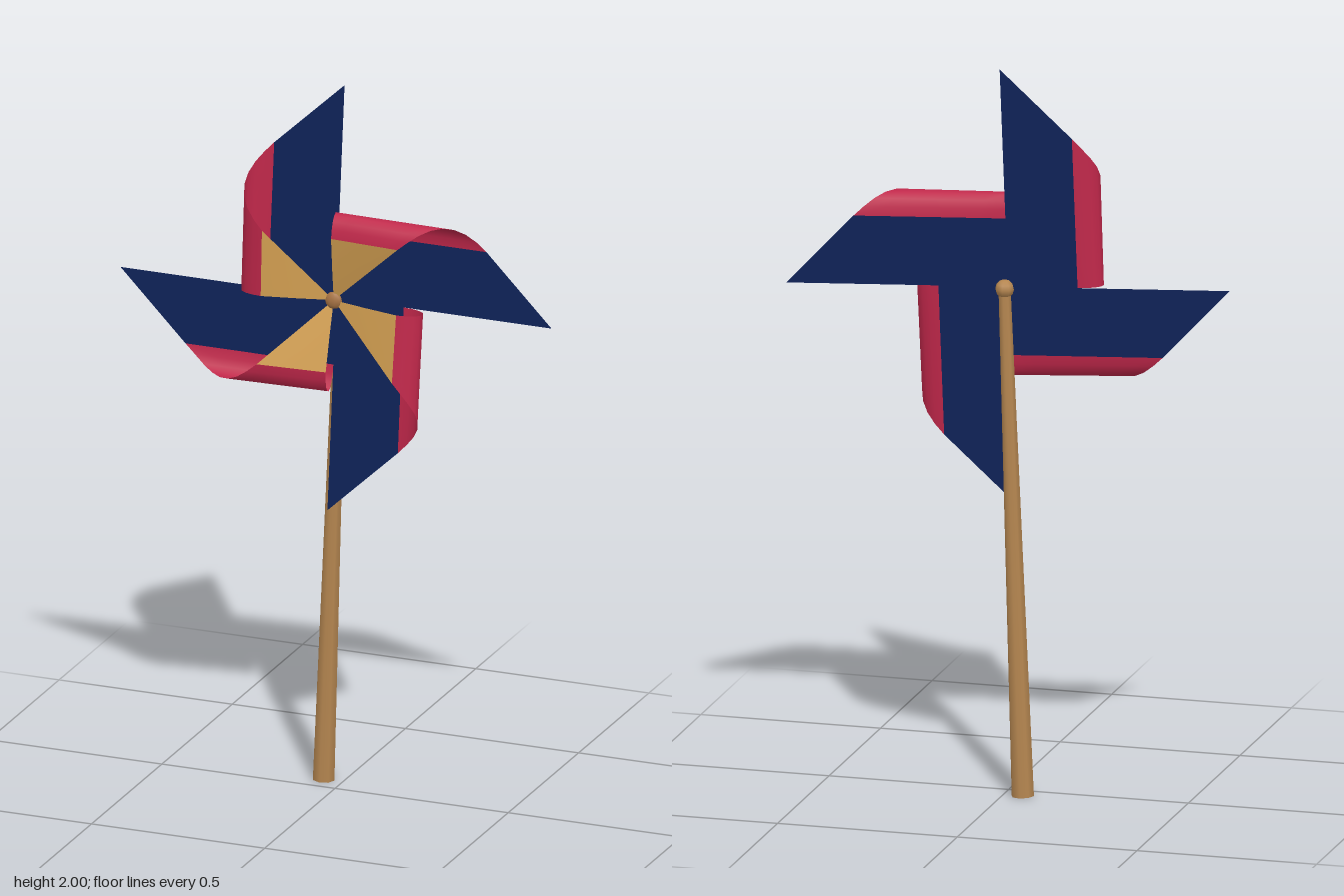
import * as THREE from 'three';

const material = (name, color, side = THREE.FrontSide) => {
  const m = new THREE.MeshStandardMaterial({ color, side });
  m.name = name;
  return m;
};

const R = 0.605;     // hub to blade tip
const FOLD = 0.19;   // width of the flat and of the folded-over part
const ROWS = 6;

// Sheet of paper from columns [x, z, height]; the curl opens up towards the outer edge
function paper(columns) {
  const pos = [], index = [];
  for (const [x, z, h] of columns) {
    for (let j = 0; j <= ROWS; j++) {
      const y = h * j / ROWS;
      pos.push(x, y, z * (1 + 1.0 * y));
    }
  }
  const n = ROWS + 1;
  for (let i = 0; i < columns.length - 1; i++) {
    for (let j = 0; j < ROWS; j++) {
      const a = i * n + j, b = a + n;
      index.push(a, a + 1, b, b, a + 1, b + 1);
    }
  }
  const g = new THREE.BufferGeometry();
  g.setAttribute('position', new THREE.Float32BufferAttribute(pos, 3));
  g.setIndex(index);
  g.computeVertexNormals();
  return g;
}

// Tapered rod between two points
function rod(from, to, r0, r1, mat, name, sides = 8) {
  const dir = to.clone().sub(from);
  const mesh = new THREE.Mesh(new THREE.CylinderGeometry(r1, r0, dir.length(), sides), mat);
  mesh.position.copy(from).add(to).multiplyScalar(0.5);
  mesh.quaternion.setFromUnitVectors(new THREE.Vector3(0, 1, 0), dir.normalize());
  mesh.name = name;
  return mesh;
}

export function createModel() {
  const navy = material('navy paper', 0x0e2259, THREE.DoubleSide);
  const red = material('red paper', 0xc0274a, THREE.DoubleSide);
  const tan = material('tan paper', 0xd4a052, THREE.DoubleSide);
  const wood = material('wood', 0xb58650);
  const pinMat = material('pin', 0xa87445);

  const model = new THREE.Group();
  model.name = 'pinwheel';

  // Flat back, half-round curl and front flap of one blade
  const back = paper([[0, 0, R], [-FOLD, 0, R - FOLD]]);
  const curlColumns = [];
  const SEG = 8, curlLength = R - 2 * FOLD;
  for (let i = 0; i <= SEG; i++) {
    const t = i / SEG, a = Math.PI * t;
    curlColumns.push([-FOLD - 0.065 * Math.sin(a), 0.034 * (1 - Math.cos(a)), R - FOLD - curlLength * t]);
  }
  const curl = paper(curlColumns);
  const flap = paper([[-FOLD, 0.068, FOLD], [-FOLD / 2, 0.046, FOLD / 2], [0, 0.02, 0]]);

  // Wheel of four blades, slightly turned
  const wheel = new THREE.Group();
  wheel.name = 'wheel';
  for (let k = 0; k < 4; k++) {
    const blade = new THREE.Group();
    blade.name = 'blade' + (k + 1);
    [[back, navy, 'bladeBack'], [curl, red, 'bladeCurl'], [flap, tan, 'bladeFlap']].forEach(([g, m, name]) => {
      const mesh = new THREE.Mesh(g, m);
      mesh.name = name;
      blade.add(mesh);
    });
    blade.rotation.z = -k * Math.PI / 2;
    wheel.add(blade);
  }

  // Pin through the hub with a rounded head
  wheel.add(rod(new THREE.Vector3(0, 0, -0.04), new THREE.Vector3(0, 0, 0.022), 0.009, 0.009, pinMat, 'pinShaft'));
  const head = new THREE.Mesh(new THREE.SphereGeometry(0.024, 10, 6), pinMat);
  head.scale.z = 0.5;
  head.position.z = 0.022;
  head.name = 'pinHead';
  wheel.add(head);

  wheel.position.set(0, 1.397, -0.007);
  wheel.rotation.set(-0.017, 0.08, -0.033);
  model.add(wheel);

  // Tapered stick with a knob behind the wheel
  model.add(rod(new THREE.Vector3(-0.055, 0.002, -0.055), new THREE.Vector3(0, 1.4, -0.04), 0.031, 0.017, wood, 'stick'));
  const knob = new THREE.Mesh(new THREE.SphereGeometry(0.026, 8, 6), wood);
  knob.position.set(0, 1.4, -0.04);
  knob.name = 'stickKnob';
  model.add(knob);

  return model;
}
